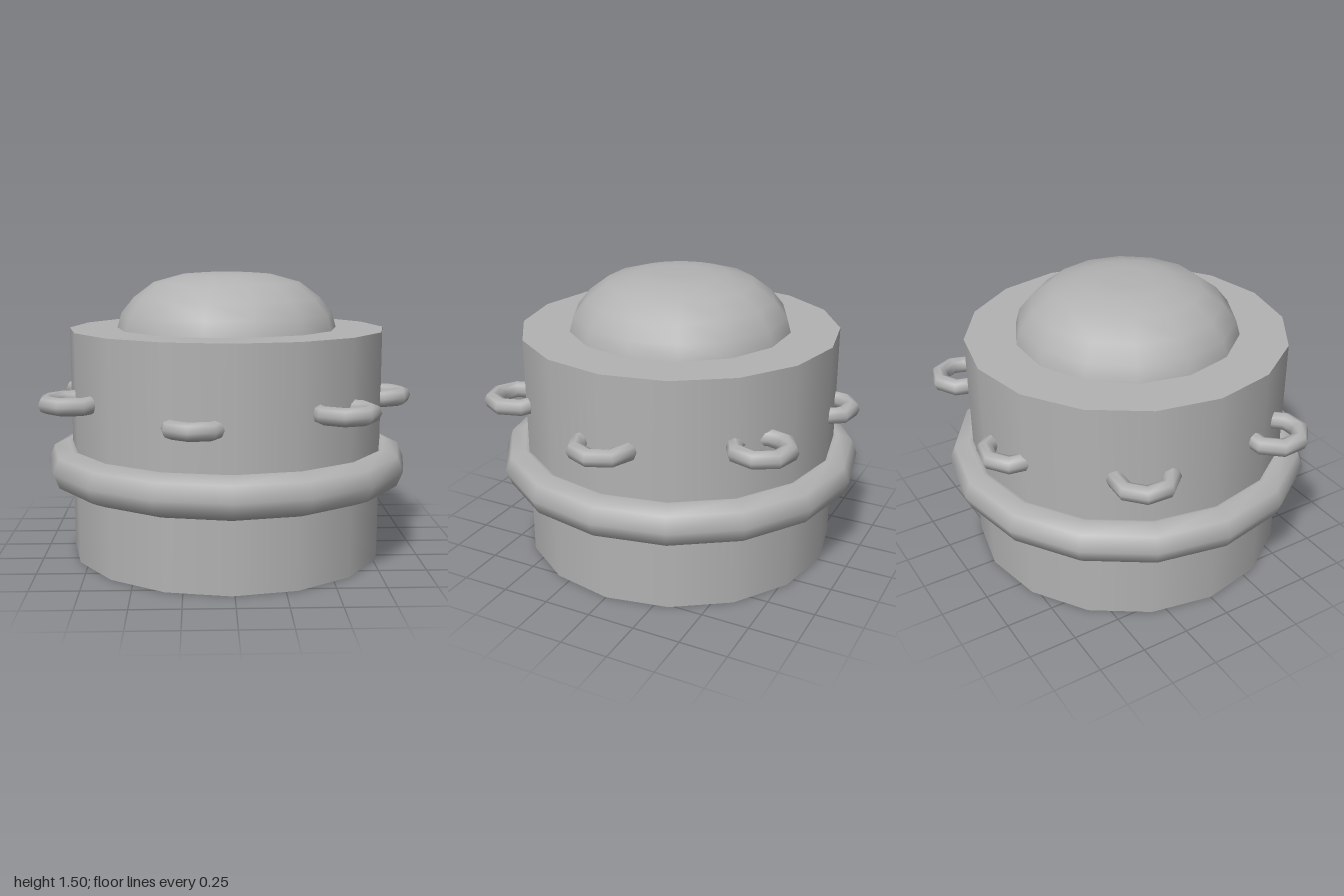
import * as THREE from 'three';

export function createModel() {
  const group = new THREE.Group();
  const grey = new THREE.MeshStandardMaterial({ color: 0xb2b2b2 });
  grey.name = 'plain grey';
  const axisX = -0.015; // the drum's axis sits slightly off centre

  const add = (name, geometry, x, y, z) => {
    const mesh = new THREE.Mesh(geometry, grey);
    mesh.name = name;
    mesh.position.set(x, y, z);
    group.add(mesh);
    return mesh;
  };

  // Drum-shaped body
  add('body', new THREE.CylinderGeometry(0.845, 0.845, 1.21, 16), axisX, 0.605, 0);

  // Rounded belt around the body
  const belt = new THREE.TorusGeometry(0.868, 0.11, 8, 16).rotateX(Math.PI / 2);
  add('belt', belt, axisX, 0.49, 0);

  // Flattened dome on top
  const profile = [
    [0.59, 0], [0.568, 0.078], [0.5, 0.162], [0.392, 0.243], [0.24, 0.285], [0.13, 0.293], [0, 0.295],
  ].map(([r, y]) => new THREE.Vector2(r, y));
  const dome = new THREE.LatheGeometry(profile, 14).rotateY(Math.PI / 2);
  add('dome', dome, axisX, 1.21, 0);

  // Seven loops spaced evenly around the body: [distance from axis, height]
  const loop = new THREE.TorusGeometry(0.135, 0.046, 8, 8).rotateX(Math.PI / 2);
  const loops = [
    [0.828, 0.835], [0.873, 0.859], [0.76, 0.805], [0.878, 0.862],
    [0.825, 0.832], [0.79, 0.814], [0.905, 0.865],
  ];
  loops.forEach(([r, y], i) => {
    const a = (i / loops.length) * Math.PI * 2;
    const mesh = add('loop' + (i + 1), loop, axisX + r * Math.cos(a), y, r * Math.sin(a));
    mesh.rotation.y = -a;
  });

  return group;
}
